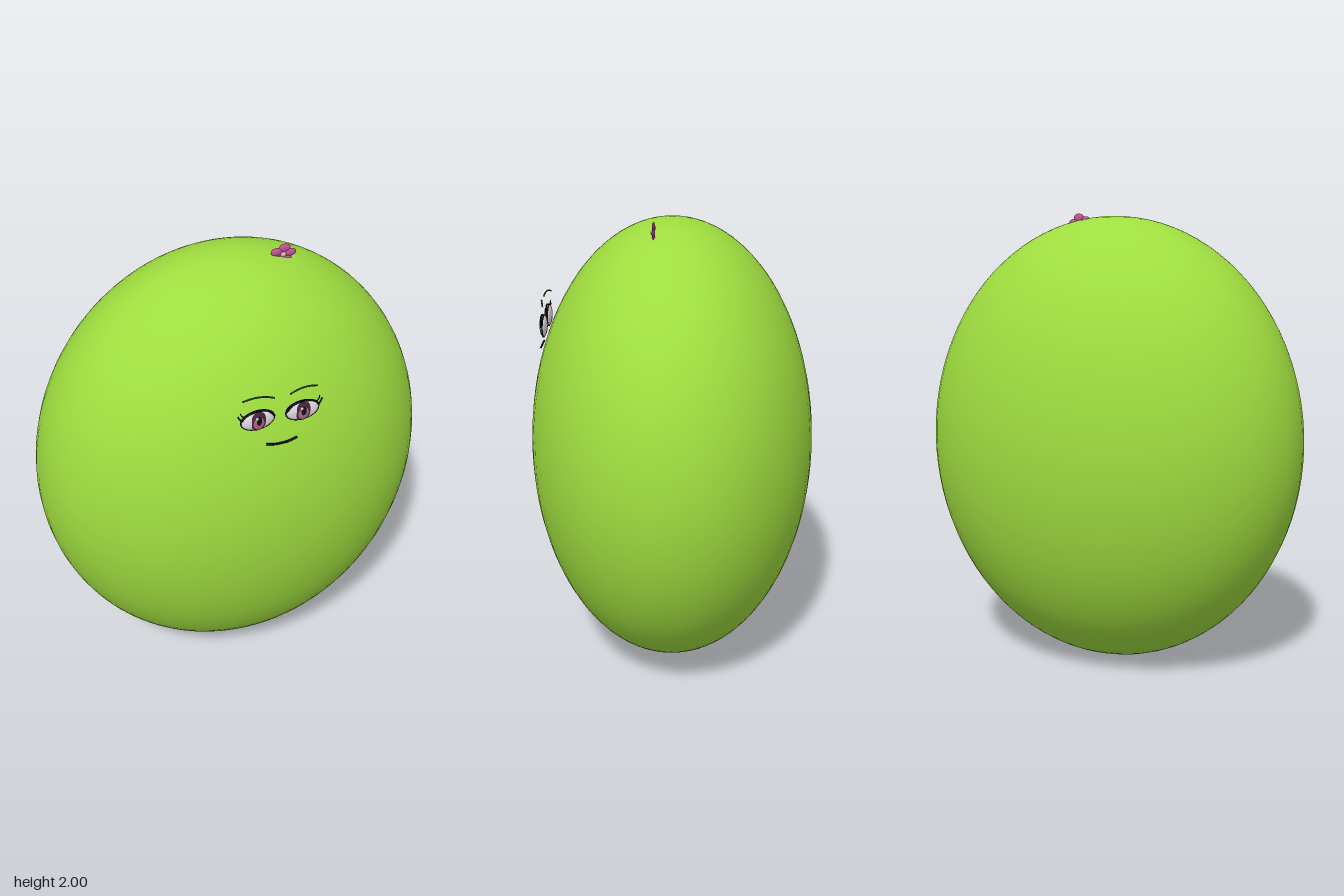
import * as THREE from 'three';

const mat = (name, color) => {
  const m = new THREE.MeshStandardMaterial({ color });
  m.name = name;
  return m;
};

export function createModel() {
  const skin = mat('lime green', 0x9fdd3f);
  const white = mat('eye white', 0xf0eaf0);
  const black = mat('lash black', 0x111111);
  const plum = mat('iris plum', 0x4a2540);
  const rose = mat('iris rose', 0xb8668f);
  const pink = mat('petal pink', 0xc9559a);
  const pale = mat('blossom centre', 0xeab8d2);
  const olive = mat('brow olive', 0x3c5210);

  const model = new THREE.Group();
  model.name = 'roundCharacter';

  // Ellipsoid from centre and radii
  const blob = (parent, name, material, [x, y, z], [rx, ry, rz], w = 24, h = 16) => {
    const mesh = new THREE.Mesh(new THREE.SphereGeometry(1, w, h), material);
    mesh.name = name;
    mesh.position.set(x, y, z);
    mesh.scale.set(rx, ry, rz);
    parent.add(mesh);
    return mesh;
  };
  // Thin stroke through a few points
  const stroke = (parent, name, material, points, radius) => {
    const curve = new THREE.CatmullRomCurve3(points.map(p => new THREE.Vector3(...p)));
    const mesh = new THREE.Mesh(new THREE.TubeGeometry(curve, 16, radius, 6), material);
    mesh.name = name;
    parent.add(mesh);
  };

  blob(model, 'body', skin, [0, 0.9935, 0], [0.87, 0.9885, 0.623], 64, 48);

  // Eyes, lashes and brows, mirrored by s (left is +x)
  for (const [side, s] of [['left', 1], ['right', -1]]) {
    const eye = new THREE.Group();
    eye.name = side + 'Eye';
    eye.position.set(s * 0.094, 1.535, 0.548);
    model.add(eye);
    blob(eye, 'eyeWhite', white, [0, 0, 0], [0.07, 0.044, 0.014]);
    blob(eye, 'irisRing', plum, [0, 0, 0.009], [0.034, 0.042, 0.007]);
    blob(eye, 'iris', rose, [0, -0.006, 0.012], [0.024, 0.031, 0.006]);
    blob(eye, 'pupil', black, [0, 0.002, 0.015], [0.012, 0.021, 0.005]);
    blob(eye, 'highlight', white, [-0.01, 0.018, 0.018], [0.007, 0.008, 0.003], 12, 8);

    const rim = new THREE.Mesh(new THREE.TorusGeometry(1, 0.045, 6, 40), black);
    rim.name = 'eyeRim';
    rim.scale.set(0.07, 0.045, 0.07);
    eye.add(rim);
    stroke(eye, 'upperLid', black, [[-s * 0.07, 0.005, 0.003], [-s * 0.04, 0.038, 0.007],
      [0, 0.047, 0.009], [s * 0.045, 0.037, 0.007], [s * 0.072, 0.012, 0.003]], 0.004);
    stroke(eye, 'outerLash', black, [[s * 0.062, 0.012, 0.004], [s * 0.075, 0.022, 0.003],
      [s * 0.084, 0.037, 0]], 0.0035);
    stroke(eye, 'lowerLash', black, [[s * 0.055, 0.028, 0.004], [s * 0.067, 0.036, 0.003],
      [s * 0.073, 0.05, 0]], 0.0025);

    stroke(model, side + 'Brow', olive, [[s * 0.032, 1.632, 0.562], [s * 0.065, 1.642, 0.558],
      [s * 0.11, 1.643, 0.551], [s * 0.157, 1.631, 0.543]], 0.0035);
  }

  stroke(model, 'mouth', black, [[-0.066, 1.426, 0.57], [-0.035, 1.42, 0.574], [0, 1.418, 0.575],
    [0.035, 1.42, 0.574], [0.066, 1.426, 0.57]], 0.0045);

  // Five-petal blossom tucked into the top of the body
  const blossom = new THREE.Group();
  blossom.name = 'blossom';
  blossom.position.set(0.206, 1.957, 0.073);
  model.add(blossom);
  for (let i = 0; i < 5; i++) {
    const a = THREE.MathUtils.degToRad(6 + i * 72);
    blob(blossom, 'petal', pink, [Math.cos(a) * 0.032, Math.sin(a) * 0.027, 0], [0.026, 0.017, 0.007], 16, 10);
  }
  blob(blossom, 'blossomCentre', pale, [0, 0, 0.005], [0.012, 0.011, 0.007], 12, 8);

  return model;
}
